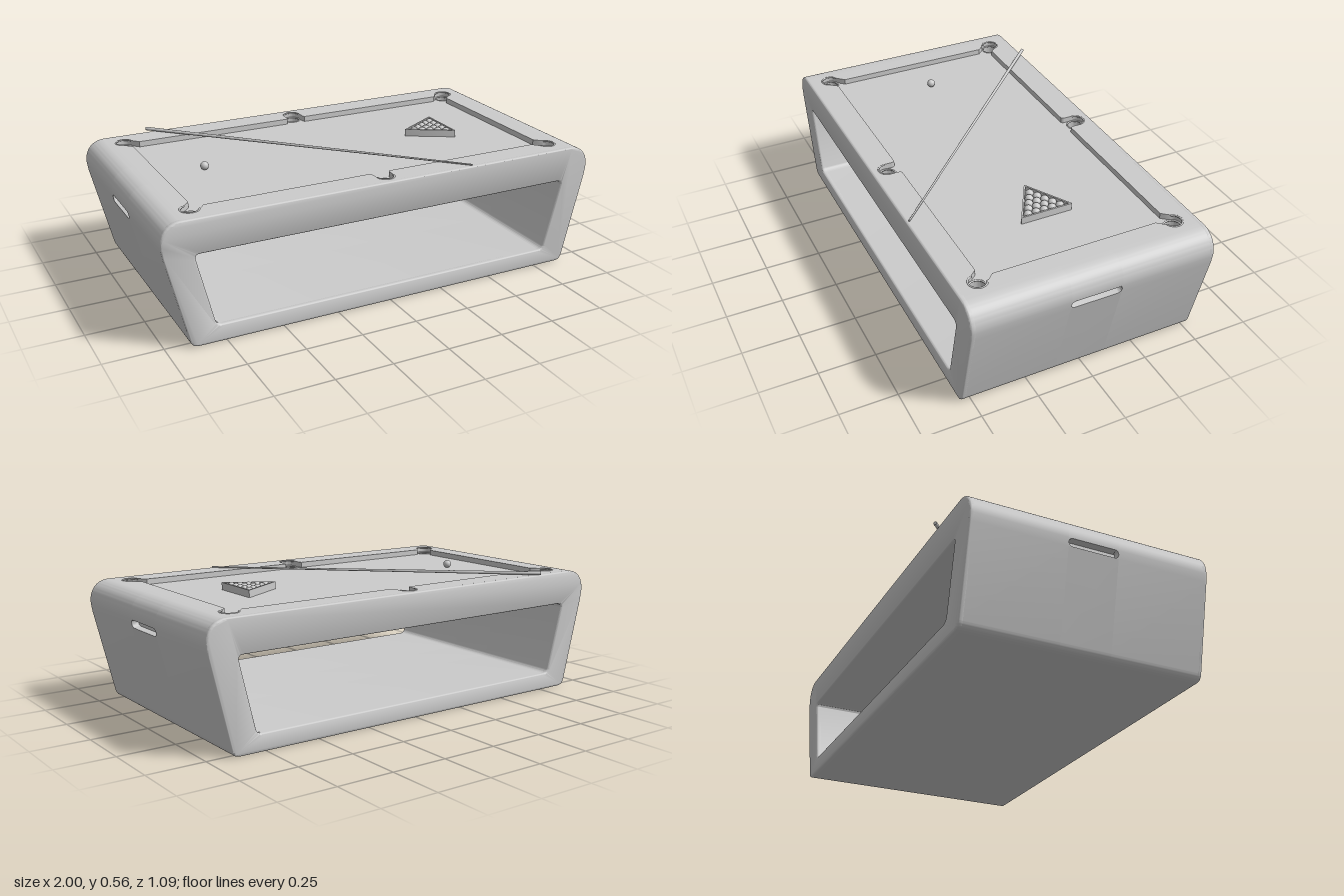
import * as THREE from 'three';
import { toCreasedNormals } from 'three/addons/utils/BufferGeometryUtils.js';

const ZC = 0.0065;          // centre of the table along z
const HALF = 0.5375;        // half depth of the body
const TOP = 0.545, BED = 0.52, FLOOR = 0.48;
const WELL = 0.89;          // half width of the well that holds bed and rails
const POCKET_R = 0.04;
const POCKETS = [];
for (const sz of [-1, 1]) {
  for (const sx of [-1, 1]) POCKETS.push({ x: sx * 0.845, z: sz * 0.435, dir: Math.atan2(sz, sx), arc: Math.PI * 4 / 3 });
  POCKETS.push({ x: 0, z: sz * 0.465, dir: sz * Math.PI / 2, arc: Math.PI });
}

const material = new THREE.MeshStandardMaterial({ color: 0xcccccc });

function add(parent, name, geometry, x = 0, y = 0, z = 0) {
  const mesh = new THREE.Mesh(geometry, material);
  mesh.name = name;
  mesh.position.set(x, y, z);
  parent.add(mesh);
  return mesh;
}

// Closed path with every corner rounded by r
function roundedPath(pts, r) {
  const path = new THREE.Path();
  const v = pts.map(p => new THREE.Vector2(...p));
  v.forEach((p, i) => {
    const prev = v[(i + v.length - 1) % v.length], next = v[(i + 1) % v.length];
    const a = p.clone().add(prev.clone().sub(p).setLength(r));
    const b = p.clone().add(next.clone().sub(p).setLength(r));
    if (i === 0) path.moveTo(a.x, a.y); else path.lineTo(a.x, a.y);
    path.quadraticCurveTo(p.x, p.y, b.x, b.y);
  });
  path.closePath();
  return path;
}

// Body cross-section; optional well in the top and notches for the end slots
function bodyShape(well, slot) {
  const s = new THREE.Shape();
  s.moveTo(-0.86, 0);
  s.lineTo(0.86, 0);
  s.bezierCurveTo(0.885, 0, 0.898, 0.005, 0.905, 0.035);
  s.lineTo(0.994, 0.405);
  if (slot) { s.lineTo(0.964, 0.405); s.lineTo(0.964, 0.44); }
  s.lineTo(0.9995, 0.44);
  s.bezierCurveTo(1.006, 0.5, 0.97, TOP, 0.91, TOP);
  if (well) {
    s.lineTo(WELL, TOP); s.lineTo(WELL, FLOOR);
    s.lineTo(-WELL, FLOOR); s.lineTo(-WELL, TOP);
  }
  s.lineTo(-0.91, TOP);
  s.bezierCurveTo(-0.97, TOP, -1.006, 0.5, -0.9995, 0.44);
  if (slot) { s.lineTo(-0.964, 0.44); s.lineTo(-0.964, 0.405); }
  s.lineTo(-0.994, 0.405);
  s.lineTo(-0.905, 0.035);
  s.bezierCurveTo(-0.898, 0.005, -0.885, 0, -0.86, 0);
  s.holes.push(roundedPath([[-0.79, 0.075], [-0.868, 0.397], [0.868, 0.397], [0.79, 0.075]], 0.025));
  return s;
}

function bodySlice(parent, name, z0, z1, { well = true, slot = false, bevel = 0 } = {}) {
  const g = new THREE.ExtrudeGeometry(bodyShape(well, slot), {
    depth: z1 - z0 - 2 * bevel, curveSegments: 20, bevelEnabled: bevel > 0,
    bevelSize: bevel, bevelThickness: bevel, bevelOffset: -bevel, bevelSegments: 4,
  });
  g.translate(0, 0, z0 + bevel);
  add(parent, name, toCreasedNormals(g, 0.6));
}

// Horizontal slab: shape drawn in x and z, top at the given height
function slab(shape, top, depth) {
  const g = new THREE.ExtrudeGeometry(shape, { depth, bevelEnabled: false, curveSegments: 24 });
  g.rotateX(Math.PI / 2).translate(0, top, 0);
  return toCreasedNormals(g, 0.5);
}

function wellRectangle() {
  const d = HALF - 0.015;
  return new THREE.Shape([[-WELL, -d], [WELL, -d], [WELL, d], [-WELL, d]].map(p => new THREE.Vector2(...p)));
}

// Inner edge of the rails: one quadrant with pocket mouths, mirrored to four
function railEdge() {
  const q = [];
  const arc = (x, z, from, to, n) => {
    for (let i = 0; i <= n; i++) {
      const a = THREE.MathUtils.degToRad(from + (to - from) * i / n);
      q.push([x + POCKET_R * Math.cos(a), z + POCKET_R * Math.sin(a)]);
    }
  };
  arc(0, 0.465, 86, 0, 12);
  q.push([0.04, 0.425], [0.046, 0.415], [0.78, 0.415]);
  arc(0.845, 0.435, 165, -75, 28);
  q.push([0.825, 0.365]);
  const mirror = (sx, sz) => q.map(([x, z]) => new THREE.Vector2(x * sx, z * sz));
  return new THREE.Path([
    ...mirror(1, 1), ...mirror(1, -1).reverse(), ...mirror(-1, -1), ...mirror(-1, 1).reverse(),
  ]);
}

function buildBody(table) {
  const body = new THREE.Group();
  body.name = 'body';
  body.position.z = ZC;
  table.add(body);
  const inner = HALF - 0.01;
  const s0 = -0.113, s1 = 0.113;
  bodySlice(body, 'frontFrame', HALF - 0.0295, HALF, { well: false, bevel: 0.009 });
  bodySlice(body, 'backFrame', -HALF, -HALF + 0.0295, { well: false, bevel: 0.009 });
  bodySlice(body, 'bodyFront', s1, inner);
  bodySlice(body, 'bodyMiddle', s0, s1, { slot: true });
  bodySlice(body, 'bodyBack', -inner, s0);

  // Rounded surrounds that turn the end notches into slots
  const h = 0.0178;
  const surround = new THREE.Shape([[s0, -h], [s1, -h], [s1, h], [s0, h]].map(p => new THREE.Vector2(...p)));
  const r = h - 0.0006, w = s1 - r - 0.0006;
  const opening = new THREE.Path();
  opening.absarc(w, 0, r, -Math.PI / 2, Math.PI / 2);
  opening.absarc(-w, 0, r, Math.PI / 2, Math.PI * 1.5);
  opening.closePath();
  surround.holes.push(opening);
  for (const side of [-1, 1]) {
    const g = new THREE.ExtrudeGeometry(surround, { depth: 0.03, bevelEnabled: false });
    g.translate(0, 0, -0.03).rotateX(Math.atan2(0.0055, 0.035)).rotateY(side * Math.PI / 2);
    add(body, 'handleSlot', toCreasedNormals(g, 0.5), side * 0.9968, 0.4225, 0);
  }
}

function buildPlayfield(table) {
  const field = new THREE.Group();
  field.name = 'playfield';
  field.position.z = ZC;
  table.add(field);

  const bed = wellRectangle();
  for (const p of POCKETS) bed.holes.push(new THREE.Path().absarc(p.x, p.z, POCKET_R, 0, Math.PI * 2));
  add(field, 'bed', slab(bed, BED, BED - FLOOR));

  const rails = wellRectangle();
  rails.holes.push(railEdge());
  add(field, 'rails', slab(rails, TOP, TOP - BED));

  // Pocket rims: full ring at the bed, open lip on the rail
  for (const p of POCKETS) {
    const ring = new THREE.TorusGeometry(POCKET_R - 0.003, 0.004, 8, 32).rotateX(Math.PI / 2);
    add(field, 'pocketRing', ring, p.x, BED - 0.001, p.z);
    const lip = new THREE.TorusGeometry(POCKET_R - 0.002, 0.004, 8, 28, p.arc)
      .rotateZ(p.dir - p.arc / 2).rotateX(Math.PI / 2);
    add(field, 'pocketLip', lip, p.x, TOP - 0.001, p.z);
  }
}

function buildBallsAndRack(table) {
  const r = 0.0185, t = 0.007;
  const ball = new THREE.SphereGeometry(r, 24, 16);
  add(table, 'cueBall', ball, -0.62, BED + r, 0);

  // Triangular rack pointing along -x
  const cx = 0.504;
  const inner = 9.93 * r / 3;   // distance from centre to each inner side
  const triangle = d => [0, 1, 2].map(i => {
    const a = Math.PI + i * Math.PI * 2 / 3;
    return [2 * d * Math.cos(a), 2 * d * Math.sin(a)];
  });
  const rack = new THREE.Shape(roundedPath(triangle(inner + t), 0.006).getPoints(4));
  rack.holes.push(new THREE.Path(triangle(inner).map(p => new THREE.Vector2(...p))));
  add(table, 'rack', slab(rack, BED + 0.032, 0.032), cx, 0, 0);

  for (let row = 0; row < 5; row++) {
    for (let i = 0; i <= row; i++) {
      const x = cx + inner - r - (4 - row) * r * Math.sqrt(3);
      add(table, 'rackedBall', ball, x, BED + r, (2 * i - row) * r);
    }
  }
}

// Tapered stick lying diagonally across the rails
function buildCue(table) {
  const butt = new THREE.Vector3(-0.705, 0.556, -0.545);
  const tip = new THREE.Vector3(0.39, 0.549, 0.53);
  const axis = tip.clone().sub(butt);
  const cue = add(table, 'cue', new THREE.CylinderGeometry(0.0035, 0.008, axis.length(), 16));
  cue.position.copy(butt).add(tip).multiplyScalar(0.5);
  cue.quaternion.setFromUnitVectors(new THREE.Vector3(0, 1, 0), axis.normalize());
}

export function createModel() {
  const table = new THREE.Group();
  table.name = 'poolTable';
  buildBody(table);
  buildPlayfield(table);
  buildBallsAndRack(table);
  buildCue(table);
  return table;
}
